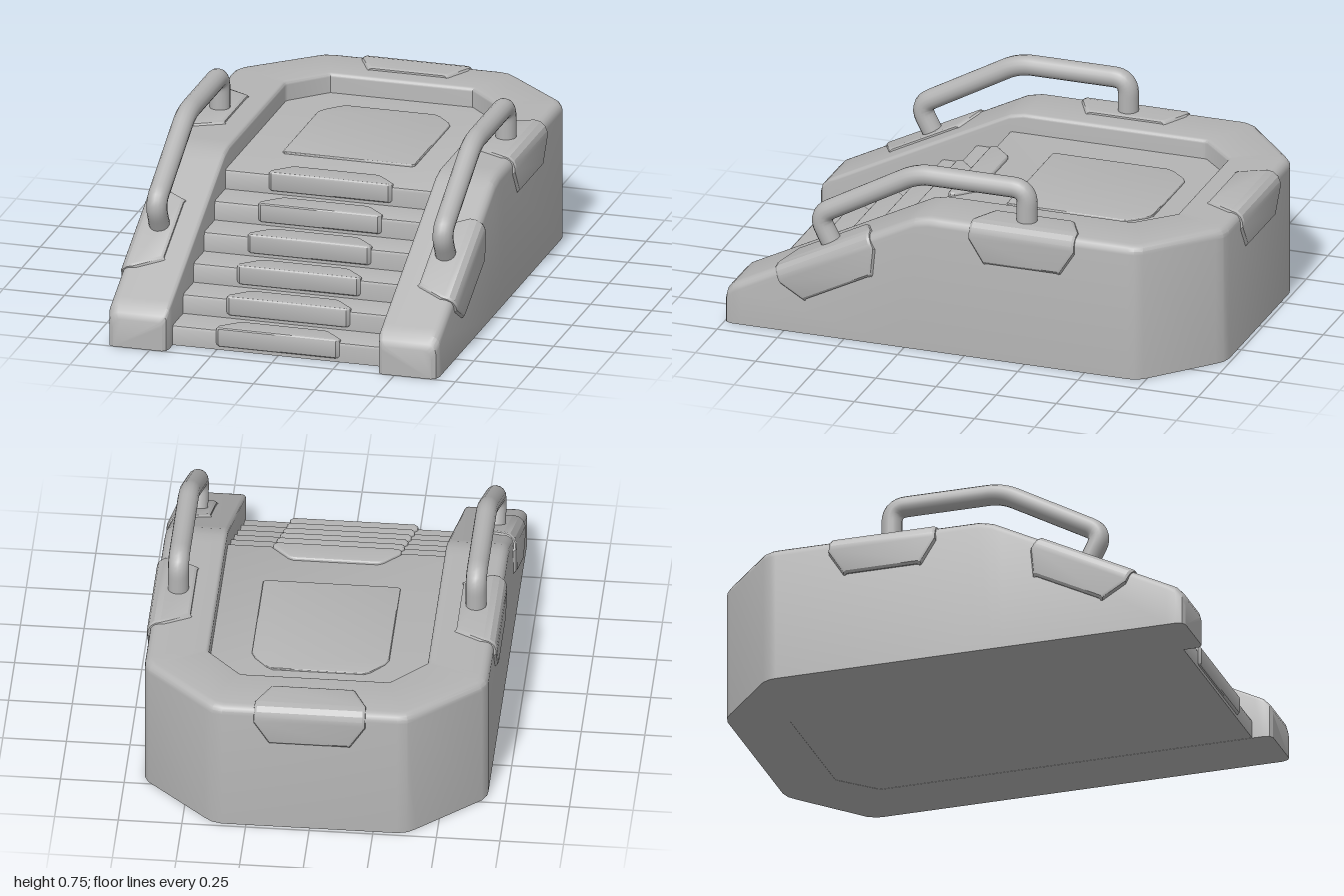
import * as THREE from 'three';
import { toCreasedNormals } from 'three/addons/utils/BufferGeometryUtils.js';

const grey = new THREE.MeshStandardMaterial({ color: 0xb4b4b4 });
grey.name = 'grey';

function part(name, geometry, crease = 0.45) {
  const mesh = new THREE.Mesh(toCreasedNormals(geometry, crease), grey);
  mesh.name = name;
  return mesh;
}

// Skin a row of closed cross-sections and cap both ends.
function loft(rings) {
  const n = rings[0].length;
  const index = [];
  for (let i = 0; i < rings.length - 1; i++) {
    for (let j = 0; j < n; j++) {
      const a = i * n + j, b = i * n + (j + 1) % n;
      index.push(a, a + n, b, b, a + n, b + n);
    }
  }
  const last = (rings.length - 1) * n;
  for (let j = 1; j < n - 1; j++) index.push(0, j, j + 1, last, last + j + 1, last + j);
  const geometry = new THREE.BufferGeometry();
  geometry.setAttribute('position', new THREE.Float32BufferAttribute(rings.flat(2), 3));
  geometry.setIndex(index);
  return geometry.toNonIndexed();
}

// Horizontal slab with rounded edges; outline points are [x, z].
function slab(outline, y0, y1, bevel) {
  const shape = new THREE.Shape(outline.map(([x, z]) => new THREE.Vector2(x, -z)));
  const geometry = new THREE.ExtrudeGeometry(shape, {
    depth: y1 - y0 - 2 * bevel, bevelEnabled: true, bevelThickness: bevel,
    bevelSize: bevel, bevelOffset: -bevel, bevelSegments: 3
  });
  return geometry.rotateX(-Math.PI / 2).translate(0, y0 + bevel, 0);
}

// U-shaped surround: outer x, z, inner x, z and height at each station.
function surround() {
  const half = [
    [0.65, 1, 0.45, 1, 0.115], [0.667, 0.99, 0.435, 0.99, 0.14],
    [0.675, 0.965, 0.43, 0.965, 0.167], [0.675, 0.93, 0.43, 0.93, 0.185],
    [0.675, 0.25, 0.43, 0.25, 0.53], [0.675, 0.21, 0.43, 0.21, 0.55],
    [0.675, 0.15, 0.43, 0.15, 0.563], [0.675, 0.1, 0.43, 0.1, 0.563],
    [0.675, -0.68, 0.43, -0.59, 0.563], [0.672, -0.705, 0.43, -0.605, 0.563],
    [0.655, -0.738, 0.425, -0.616, 0.563], [0.415, -0.952, 0.3, -0.742, 0.563],
    [0.385, -0.975, 0.29, -0.75, 0.563], [0.345, -0.985, 0.28, -0.75, 0.563]
  ];
  const mirrored = half.map(([ox, oz, ix, iz, h]) => [-ox, oz, -ix, iz, h]).reverse();
  const rings = [...half, ...mirrored].map(([ox, oz, ix, iz, h]) => {
    const width = Math.hypot(ix - ox, iz - oz);
    const dx = (ix - ox) / width, dz = (iz - oz) / width;
    const at = (d, y) => [ox + dx * d, y, oz + dz * d];
    const ring = [at(0, 0)];
    const steps = 4, outer = 0.036, inner = 0.016;
    for (let k = 0; k <= steps; k++) {
      const t = k / steps * Math.PI / 2;
      ring.push(at(outer * (1 - Math.cos(t)), h - outer * (1 - Math.sin(t))));
    }
    for (let k = steps; k >= 0; k--) {
      const t = k / steps * Math.PI / 2;
      ring.push(at(width - inner * (1 - Math.cos(t)), h - inner * (1 - Math.sin(t))));
    }
    ring.push(at(width, 0));
    return ring;
  });
  return loft(rings);
}

// Plate folded over an outer edge: out, up and half length of each fold line.
function edgePlate() {
  const profile = [
    [-0.02, -0.155, 0.155], [0.006, -0.155, 0.155], [0.014, -0.145, 0.16],
    [0.014, -0.05, 0.22], [0.012, -0.03, 0.22], [0.004, -0.01, 0.22],
    [-0.015, 0.006, 0.22], [-0.04, 0.012, 0.218], [-0.142, 0.012, 0.165],
    [-0.152, 0.007, 0.16], [-0.155, -0.02, 0.16]
  ];
  const ring = (side, inset, short) =>
    profile.map(([u, v, w]) => [u - inset, v - inset, side * (w - short)]);
  return loft([
    ring(1, 0.014, 0), ring(1, 0.004, 0.002), ring(1, 0, 0.012),
    ring(-1, 0, 0.012), ring(-1, 0.004, 0.002), ring(-1, 0.014, 0)
  ]);
}

// Bent rail through [z, y] points, with rounded corners.
function railGeometry() {
  const points = [[-0.23, 0.53], [-0.23, 0.707], [0.225, 0.707], [0.64, 0.475], [0.57, 0.34]]
    .map(([z, y]) => new THREE.Vector3(0, y, z));
  const path = new THREE.CurvePath();
  let start = points[0];
  for (let i = 1; i < points.length - 1; i++) {
    const r = 0.06;
    const before = points[i].clone().lerp(points[i - 1], r / points[i].distanceTo(points[i - 1]));
    const after = points[i].clone().lerp(points[i + 1], r / points[i].distanceTo(points[i + 1]));
    path.add(new THREE.LineCurve3(start, before));
    path.add(new THREE.QuadraticBezierCurve3(before, points[i], after));
    start = after;
  }
  path.add(new THREE.LineCurve3(start, points[points.length - 1]));
  return new THREE.TubeGeometry(path, 90, 0.041, 16, false);
}

export function createModel() {
  const model = new THREE.Group();
  model.name = 'steppedPlatform';
  model.add(part('surround', surround()));

  // Staircase and platform floor as one stepped side profile
  const count = 6, rise = 0.08, run = 0.142, firstZ = 0.92;
  const profile = [new THREE.Vector2(-0.78, 0.001), new THREE.Vector2(firstZ, 0.001)];
  for (let k = 1; k <= count; k++) {
    const z = firstZ - (k - 1) * run, y = k * rise + 0.003;
    profile.push(new THREE.Vector2(z, y - 0.014), new THREE.Vector2(z - 0.004, y - 0.004),
      new THREE.Vector2(z - 0.014, y));
    if (k < count) profile.push(new THREE.Vector2(z - run, y));
  }
  profile.push(new THREE.Vector2(-0.78, count * rise + 0.003));
  const stairs = new THREE.ExtrudeGeometry(new THREE.Shape(profile), { depth: 0.86, bevelEnabled: false });
  stairs.rotateY(-Math.PI / 2).translate(0.43, 0, 0);
  model.add(part('stairsAndFloor', stairs));

  // Tread pads over the step noses
  for (let k = 1; k <= count; k++) {
    const z = firstZ - (k - 1) * run + 0.012;
    const outline = [
      [-0.24, z], [0.24, z], [0.252, z - 0.012], [0.252, z - 0.03], [0.185, z - 0.095],
      [0.165, z - 0.103], [-0.165, z - 0.103], [-0.185, z - 0.095], [-0.252, z - 0.03], [-0.252, z - 0.012]
    ];
    model.add(part('treadPad', slab(outline, (k - 1) * rise + 0.016, k * rise + 0.016, 0.012)));
  }

  // Raised panel on the platform floor
  model.add(part('floorPanel', slab([
    [-0.26, -0.03], [0.26, -0.03], [0.27, -0.04], [0.27, -0.51], [0.255, -0.54], [0.205, -0.595],
    [0.18, -0.61], [-0.18, -0.61], [-0.205, -0.595], [-0.255, -0.54], [-0.27, -0.51], [-0.27, -0.04]
  ], 0.46, 0.492, 0.005)));

  // Edge plates and handrails on both sides
  const slope = Math.atan2(0.345, 0.68);
  for (const side of [1, -1]) {
    const turn = side > 0 ? 0 : Math.PI;
    const upper = part('upperEdgePlate', edgePlate());
    upper.position.set(side * 0.675, 0.563, -0.24);
    upper.rotation.y = turn;
    const lower = part('lowerEdgePlate', edgePlate());
    lower.position.set(side * 0.675, 0.355, 0.595);
    lower.rotation.set(slope, turn, 0);
    const rail = part('handrail', railGeometry(), 0.6);
    rail.position.x = side * 0.585;
    model.add(upper, lower, rail);
  }

  // Edge plate at the back
  const back = part('backEdgePlate', edgePlate());
  back.position.set(0, 0.563, -0.985);
  back.rotation.y = Math.PI / 2;
  model.add(back);
  return model;
}
